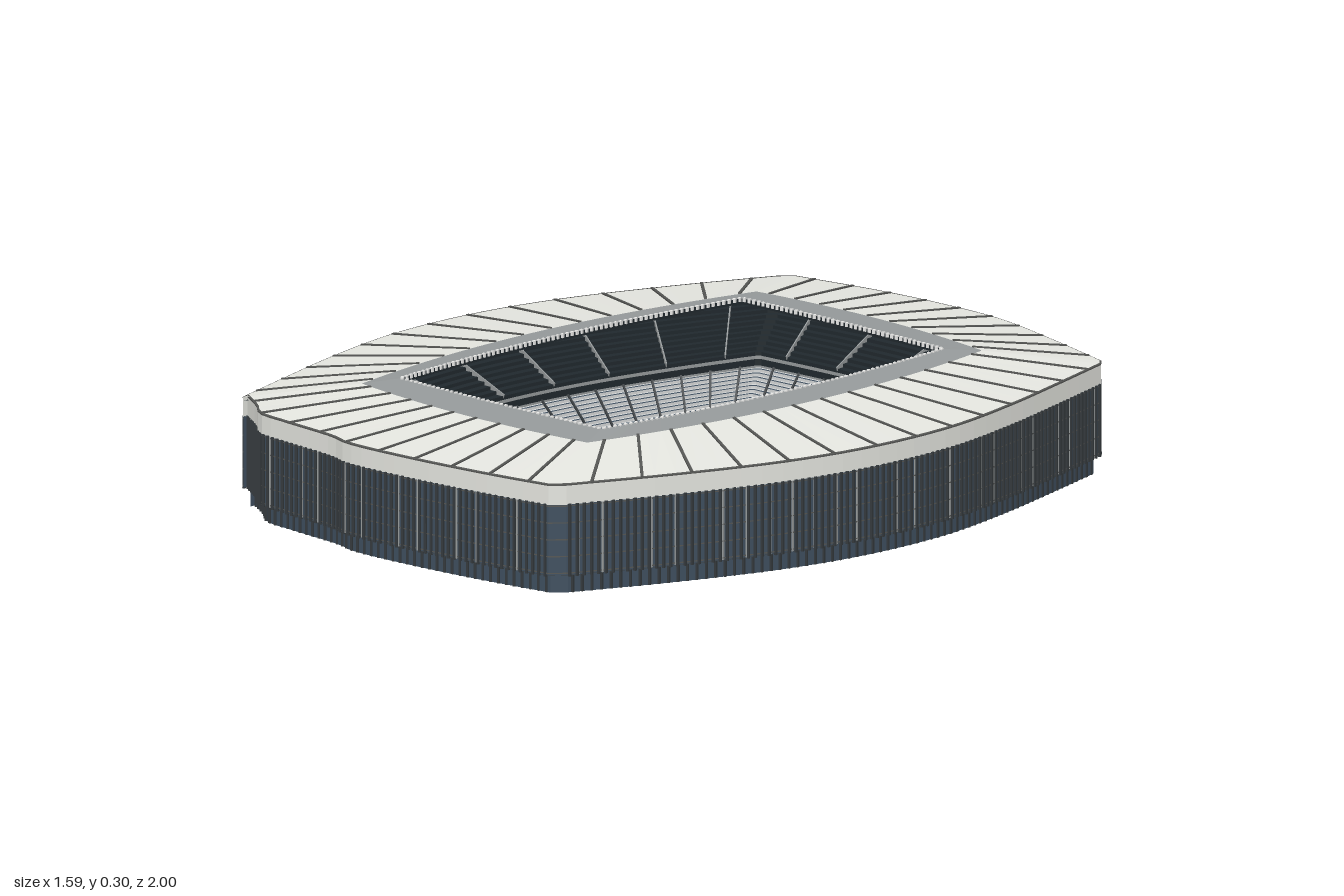
import * as THREE from 'three';
import { mergeGeometries } from 'three/addons/utils/BufferGeometryUtils.js';

const N = 32; // samples per side of each four-sided ring
const mat = (name, color) => {
  const m = new THREE.MeshStandardMaterial({ color, side: THREE.DoubleSide });
  m.name = name;
  return m;
};
const M = {
  roof: mat('pale roof panel', 0xe4e5df),
  band: mat('grey glazed roof', 0x95999a),
  rib: mat('dark roof rib', 0x545553),
  under: mat('roof underside', 0x7a7a76),
  glass: mat('slate glass', 0x3e4e5e),
  fin: mat('facade fin', 0x34393c),
  upper: mat('dark seating', 0x20282d),
  riser: mat('light seat row', 0xd6d8d8),
  white: mat('white trim', 0xf6f6f4),
  grass: mat('grass', 0x5d883d),
};

// Outer plan: three splined sides; the fourth is a half turn of the second
const spline = (pts) => new THREE.CatmullRomCurve3(pts.map(([x, z]) => new THREE.Vector3(x, 0, z)));
const east = [[.779, -.635], [.789, -.4], [.794, -.2], [.781, .05], [.72, .3], [.62, .52], [.45, .77], [.285, .975]];
const sides = [
  spline([[-.25, -.998], [0, -.974], [.18, -.94], [.36, -.887], [.58, -.77], [.765, -.66]]),
  spline(east),
  spline([[.25, .998], [.1, .982], [-.15, .94], [-.36, .885], [-.41, .853], [-.58, .785], [-.67, .745], [-.71, .69], [-.775, .62]]),
  spline(east.map(([x, z]) => [-x, -z])),
];
const outer = (s, t) => sides[s].getPointAt(t);

// Skewed four-sided plan with bowed sides
function bowed(ax, az, bx, bz, shortBow, longBow) {
  const c = [[ax, az], [bx, bz], [-ax, -az], [-bx, -bz]];
  return (s, t) => {
    const [x0, z0] = c[s], [x1, z1] = c[(s + 1) % 4];
    const dx = x1 - x0, dz = z1 - z0, len = Math.hypot(dx, dz);
    const b = 4 * t * (1 - t) * (s % 2 ? longBow : shortBow);
    return new THREE.Vector3(x0 + dx * t + dz / len * b, 0, z0 + dz * t - dx / len * b);
  };
}
const pitchPlan = bowed(-.152, -.588, .46, -.4, 0, .022);
const openPlan = bowed(-.17, -.615, .472, -.435, .006, .038);
const bandPlan = bowed(-.19, -.715, .54, -.495, .03, .075);

// A plan lifted to height y; bowl(k, y) runs from the pitch edge (0) to the outer wall (1)
const lift = (plan, y) => (s, t) => plan(s, t).setY(y);
const bowl = (k, y) => (s, t) => pitchPlan(s, t).lerp(outer(s, t), k).setY(y);

const ring = (f) => {
  const pts = [];
  for (let s = 0; s < 4; s++) for (let i = 0; i <= N; i++) pts.push(f(s, i / N));
  return pts;
};

// Flat-shaded closed strip between two rings
function strip(f, g) {
  const a = ring(f), b = ring(g), pos = [];
  a.forEach((p, i) => {
    const j = (i + 1) % a.length;
    for (const v of [p, a[j], b[i], b[i], a[j], b[j]]) pos.push(v.x, v.y, v.z);
  });
  const geo = new THREE.BufferGeometry();
  geo.setAttribute('position', new THREE.Float32BufferAttribute(pos, 3));
  geo.computeVertexNormals();
  return geo;
}

// Box beam between two points
function bar(a, b, w, h) {
  const geo = new THREE.BoxGeometry(w, h, a.distanceTo(b));
  const o = new THREE.Object3D();
  o.position.copy(a).lerp(b, .5);
  o.lookAt(b);
  o.updateMatrix();
  return geo.applyMatrix4(o.matrix);
}

// Bars joining two rings, with separate counts for short and long sides
function bars(f, g, shortCount, longCount, w, h, keep = () => true) {
  const out = [];
  for (let s = 0; s < 4; s++) {
    const n = s % 2 ? longCount : shortCount;
    for (let i = 0; i < n; i++) {
      if (keep(i)) out.push(bar(f(s, (i + .5) / n), g(s, (i + .5) / n), w, h));
    }
  }
  return out;
}

// Stepped seating: treads, risers and a seat strip along the middle of each tread
function tier(k0, y0, k1, y1, rows) {
  const treads = [], risers = [], seats = [];
  const dk = (k1 - k0) / rows, dy = (y1 - y0) / rows;
  for (let i = 0; i < rows; i++) {
    const k = k0 + dk * i, y = y0 + dy * (i + 1);
    risers.push(strip(bowl(k, y - dy), bowl(k, y)));
    treads.push(strip(bowl(k, y), bowl(k + dk, y)));
    seats.push(strip(bowl(k + dk * .15, y + .002), bowl(k + dk * .75, y + .002)));
  }
  return { treads, risers, seats };
}

export function createModel() {
  const root = new THREE.Group();
  root.name = 'stadium';
  const add = (name, material, geos) => {
    const m = new THREE.Mesh(mergeGeometries(geos), material);
    m.name = name;
    root.add(m);
  };

  // Pitch and its edge wall
  const shape = new THREE.Shape(ring(pitchPlan).map((p) => new THREE.Vector2(p.x, -p.z)));
  add('pitch', M.grass, [new THREE.ShapeGeometry(shape).rotateX(-Math.PI / 2).translate(0, .012, 0)]);
  add('pitchEdgeWall', M.white, [strip(bowl(0, .003), bowl(0, .026))]);
  add('pitchWalkway', M.glass, [strip(bowl(0, .018), bowl(.065, .018))]);

  // Lower and upper seating
  const low = tier(.065, .018, .34, .108, 12);
  add('lowerTreads', M.glass, low.treads);
  add('lowerRisers', M.riser, low.risers);
  add('lowerSeats', M.riser, low.seats);
  add('lowerAisles', M.fin, bars(bowl(.065, .028), bowl(.34, .116), 10, 16, .005, .004));
  add('walkwayGates', M.riser, bars(bowl(.015, .02), bowl(.065, .02), 6, 9, .004, .004));
  add('balconyRail', M.band, [strip(bowl(.335, .108), bowl(.335, .115)), strip(bowl(.34, .13), bowl(.34, .138))]);
  add('balconyWall', M.upper, [strip(bowl(.345, .108), bowl(.345, .138))]);
  const high = tier(.345, .138, .88, .236, 12);
  add('upperSeating', M.upper, [...high.treads, ...high.risers]);
  add('upperAisles', M.band, bars(bowl(.345, .141), bowl(.88, .239), 5, 8, .003, .02));

  // Facade: glass, fins, rails and recessed base
  add('facadeGlass', M.glass, [strip(bowl(.99, .045), bowl(.99, .215))]);
  add('baseGlass', M.glass, [strip(bowl(.95, 0), bowl(.95, .045))]);
  add('baseSoffit', M.fin, [strip(bowl(.95, .045), bowl(1, .045))]);
  add('facadeFins', M.fin, bars(bowl(.997, .042), bowl(.997, .215), 64, 98, .006, .006));
  add('baseFins', M.fin, bars(bowl(.95, 0), bowl(.95, .045), 48, 72, .006, .006));
  add('paleMullions', M.band, bars(bowl(.991, .045), bowl(.991, .213), 95, 145, .003, .007, (i) => i % 5 === 2));
  add('facadeRails', M.rib, [.05, .09, .13, .17, .21].map((y) => strip(bowl(.996, y - .0015), bowl(.996, y + .0015))));

  // Roof: fascia with dark lining, sloping panels, glazed inner band and underside
  add('fascia', M.roof, [strip(bowl(.994, .213), bowl(.994, .261))]);
  add('fasciaSoffit', M.under, [strip(bowl(.992, .2135), bowl(.82, .2135))]);
  add('roofPanels', M.roof, [strip(bowl(.994, .261), lift(bandPlan, .293))]);
  add('glazedBand', M.band, [strip(lift(bandPlan, .293), lift(openPlan, .301))]);
  add('roofUnderside', M.upper, [strip(bowl(.985, .252), lift(openPlan, .29))]);
  add('roofRim', M.rib, [strip(bowl(.996, .2615), bowl(.985, .2635)), strip(bowl(.996, .2585), bowl(.996, .2615))]);
  add('roofRibs', M.rib, bars(bowl(.99, .262), lift(bandPlan, .2935), 10, 14, .007, .005));

  // Inner roof edge with a row of small lamps
  add('openingEdge', M.upper, [strip(lift(openPlan, .288), lift(openPlan, .301))]);
  add('edgeLamps', M.white, bars(lift(openPlan, .294), lift(openPlan, .304), 44, 72, .007, .007));
  return root;
}
